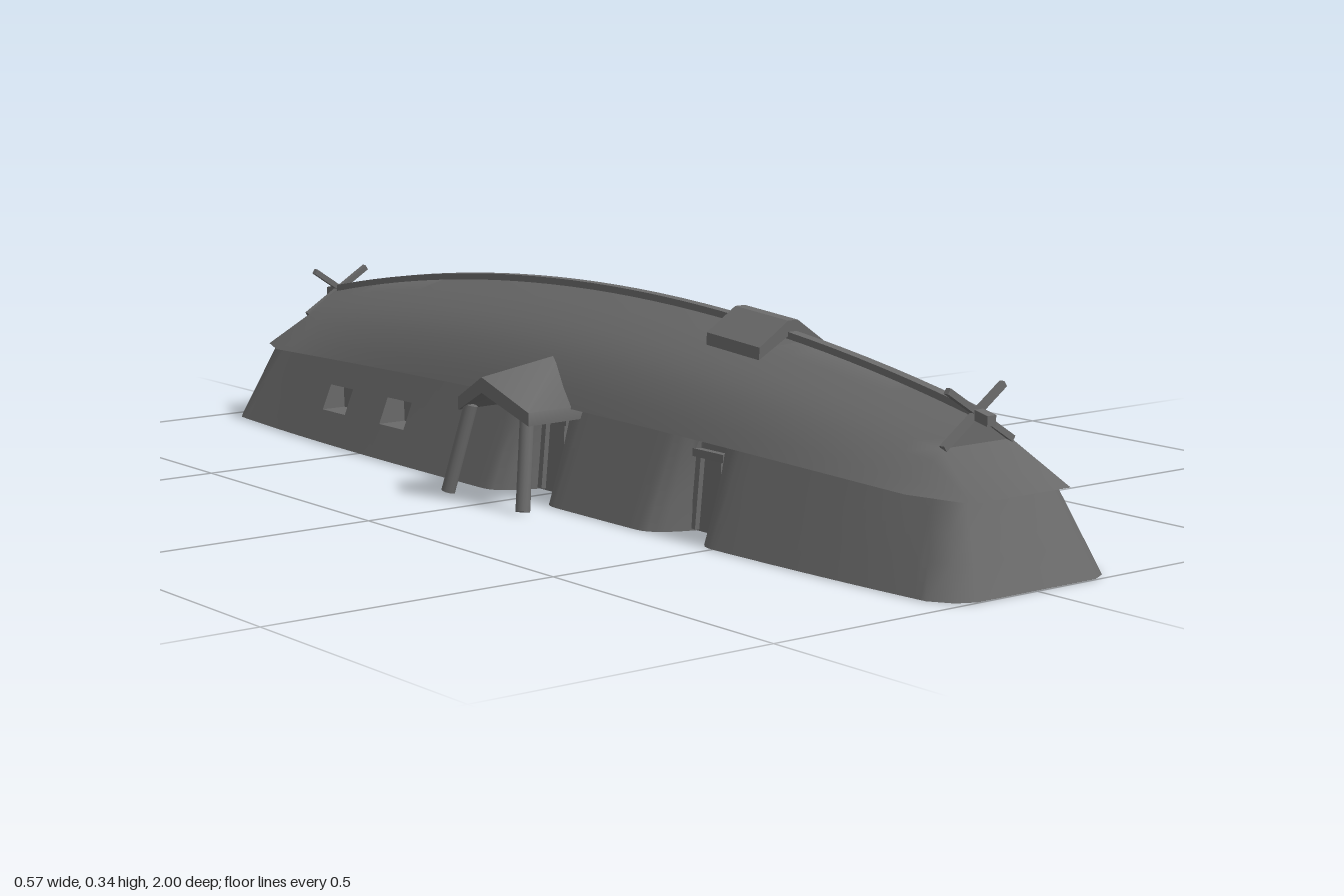
import * as THREE from 'three';
import { toCreasedNormals } from 'three/addons/utils/BufferGeometryUtils.js';

const mat = new THREE.MeshStandardMaterial({ color: 0x6a6a6a, side: THREE.DoubleSide });
const V = (x, y, z) => new THREE.Vector3(x, y, z);
const { smoothstep, lerp, clamp } = THREE.MathUtils;

function add(parent, name, geo) {
  const mesh = new THREE.Mesh(geo, mat);
  mesh.name = name;
  parent.add(mesh);
  return mesh;
}

// Surface from a list of triangles, smooth except at hard edges
function surface(tris, crease = 0.6) {
  const g = new THREE.BufferGeometry().setFromPoints(tris);
  g.computeVertexNormals();
  return toCreasedNormals(g, crease);
}

// Triangles between successive rings of points; skip(i, j) leaves a hole
function skin(rings, { closed = false, caps = false, skip = () => false } = {}) {
  const t = [];
  const n = rings[0].length;
  for (let i = 0; i < rings.length - 1; i++) {
    for (let j = 0; j < (closed ? n : n - 1); j++) {
      if (skip(i, j)) continue;
      const k = (j + 1) % n;
      const [a, b, c, d] = [rings[i][j], rings[i][k], rings[i + 1][k], rings[i + 1][j]];
      t.push(a, b, c, a, c, d);
    }
  }
  if (caps) {
    for (const [r, flip] of [[rings[0], true], [rings[rings.length - 1], false]]) {
      for (let j = 1; j < n - 1; j++) t.push(r[0], r[flip ? j + 1 : j], r[flip ? j : j + 1]);
    }
  }
  return t;
}

// Straight bar between two points: round (sides > 4) or square
function bar(parent, name, a, b, r, sides = 4) {
  const g = new THREE.CylinderGeometry(r, r, a.distanceTo(b), sides);
  if (sides === 4) g.rotateY(Math.PI / 4);
  const m = add(parent, name, sides === 4 ? toCreasedNormals(g, 0.5) : g);
  m.position.copy(a).lerp(b, 0.5);
  m.quaternion.setFromUnitVectors(V(0, 1, 0), b.clone().sub(a).normalize());
}

// Doorway recesses: side, centre z, half width of flat part, outer half width
const recesses = [
  [1, 0.41, 0.03, 0.115], [-1, 0.41, 0.03, 0.115],
  [1, 0, 0.04, 0.125], [-1, 0, 0.04, 0.125],
  [1, -0.63, 0.03, 0.115],
];
const windows = [-0.62, -0.42];
const levels = [0, 0.055, 0.1, 0.15];

// Point of the battered wall, bulging out between the recesses
function wallPoint(side, z, y) {
  const t = y / 0.15;
  let x = 0.205 - 0.037 * Math.abs(z) ** 3 - 0.062 * t;
  for (const [s, c, flat, outer] of recesses) {
    if (s !== side) continue;
    const u = clamp((Math.abs(z - c) - flat) / (outer - flat), 0, 1);
    x = lerp(x, 0.13 - 0.01 * t, (1 - u) ** 4);
  }
  const lean = 0.06 * t * smoothstep(Math.abs(z), 0.7, 1);
  return V(side * x, y * (1.06 - 0.16 * z * z), z - Math.sign(z) * lean);
}

function walls(g) {
  const rings = levels.map((y) => {
    const t = y / 0.15;
    const end = (x, z) => V(x * (1 - 0.28 * t), y * 0.9, z * (1 - 0.06 * t));
    const ring = [];
    for (let i = 0; i <= 190; i++) ring.push(wallPoint(1, 0.95 - i * 0.01, y));
    ring.push(end(0.15, -0.985), end(0.12, -1), end(-0.12, -1), end(-0.15, -0.985));
    for (let i = 0; i <= 190; i++) ring.push(wallPoint(-1, -0.95 + i * 0.01, y));
    ring.push(end(-0.15, 0.985), end(-0.12, 1), end(0.12, 1), end(0.15, 0.985));
    return ring;
  });
  const skip = (i, j) => i === 1 && j > 194 &&
    windows.some((w) => Math.abs(-0.95 + (j - 195 + 0.5) * 0.01 - w) < 0.04);
  add(g, 'wall', surface(skin(rings, { closed: true, skip }), 0.9));

  // Window boxes sunk into the wall
  for (const w of windows) {
    const outer = [[-1, 1], [1, 1], [1, 2], [-1, 2]].map(([d, l]) => wallPoint(-1, w + d * 0.04, levels[l]));
    const inner = outer.map((p) => V(-0.125, p.y, p.z));
    add(g, 'windowReveal', surface(skin([outer, inner], { closed: true }), 0.3));
    add(g, 'windowBack', surface([inner[0], inner[1], inner[2], inner[0], inner[2], inner[3]]));
  }

  // Door frames
  for (const [s, c] of recesses) {
    const door = new THREE.Group();
    door.name = 'doorFrame';
    for (const d of [-1, 1]) bar(door, 'doorJamb', V(s * 0.133, 0.003, c + d * 0.03), V(s * 0.125, 0.13, c + d * 0.025), 0.008);
    bar(door, 'doorLintel', V(s * 0.127, 0.125, c - 0.038), V(s * 0.127, 0.125, c + 0.038), 0.009);
    g.add(door);
  }
}

// Roof section: fractions of half width and of rise, eave to ridge
const section = [[1, 0], [0.92, 0.17], [0.77, 0.42], [0.64, 0.56], [0.5, 0.69], [0.24, 0.86], [0, 1]];
const ridge = (z) => 0.333 - 0.09 * (z / 0.87) ** 2;
const gableZ = 0.87;
function roofRing(z) {
  const q = Math.abs(z / gableZ);
  const w = 0.17 - 0.028 * q ** 3;
  const e = 0.16 - 0.022 * q ** 2;
  // The section straightens towards the gables
  const half = section.map(([a, b]) => [w * lerp(a, 1 - b, 0.7 * q ** 4), lerp(e, ridge(z), b)]);
  return [
    ...half.map(([x, y]) => V(x, y, z)),
    ...half.slice(0, -1).reverse().map(([x, y]) => V(-x, y, z)),
  ];
}

function roof(g) {
  const rings = [];
  for (let i = 0; i <= 32; i++) rings.push(roofRing(gableZ * (1 - i / 16)));
  const tris = skin(rings);
  for (const s of [1, -1]) {
    // Rounded hip below each gable
    const r = roofRing(s * gableZ);
    const last = r.length - 1;
    const tri = (a, b, c) => (s > 0 ? tris.push(a, c, b) : tris.push(a, b, c));
    const [a, b] = [V(0.1, 0.134, s * 0.965), V(-0.1, 0.134, s * 0.965)];
    for (let i = 0; i < 3; i++) {
      tri(a, r[i], r[i + 1]);
      tri(b, r[last - i - 1], r[last - i]);
    }
    tri(a, r[3], r[last - 3]);
    tri(a, r[last - 3], b);
    // Flat gable
    const gable = [];
    for (let i = 4; i < last - 3; i++) gable.push(r[3], r[i], r[i + 1]);
    add(g, 'gable', surface(gable));
    // Crossed rafters
    for (const d of [1, -1]) {
      bar(g, 'crossedRafter', V(-d * 0.07, 0.197, s * 0.872), V(d * 0.057, 0.28, s * 0.865), 0.007);
    }
  }
  add(g, 'roof', surface(tris, 1));

  // Ridge beam following the roof curve
  const beam = [];
  for (let i = 0; i <= 32; i++) {
    const z = 0.9 * (1 - i / 16);
    const y = ridge(z);
    beam.push([[0.009, -0.01], [0.009, 0.006], [-0.009, 0.006], [-0.009, -0.01]].map(([x, h]) => V(x, y + h, z)));
  }
  add(g, 'ridgeBeam', surface(skin(beam, { closed: true, caps: true })));

  // Smoke hole cover
  const pts = [[0.01, 0.024], [0.066, -0.014], [0.066, -0.034], [0, 0.004], [-0.066, -0.034], [-0.066, -0.014], [-0.01, 0.024]];
  const shape = new THREE.Shape(pts.map(([x, y]) => new THREE.Vector2(x, y)));
  const geo = new THREE.ExtrudeGeometry(shape, { depth: 0.13, bevelEnabled: false }).translate(0, 0, -0.065);
  const cover = add(g, 'smokeHoleCover', geo);
  cover.position.set(0, 0.313, 0.39);
  cover.rotation.x = 0.07;
}

function porch(side) {
  const g = new THREE.Group();
  g.name = side > 0 ? 'leftPorch' : 'rightPorch';
  // Gabled roof whose peak juts past its eaves
  const ring = (xp, yp, xe, ye) => [
    V(side * xp, yp, 0), V(side * xe, ye, 0.1), V(side * xe, ye - 0.022, 0.1),
    V(side * xp, yp - 0.026, 0), V(side * xe, ye - 0.022, -0.1), V(side * xe, ye, -0.1),
  ];
  const rings = [ring(0.115, 0.234, 0.14, 0.163), ring(0.277, 0.21, 0.255, 0.162)];
  add(g, 'porchRoof', surface(skin(rings, { closed: true, caps: true }), 1.05));
  // Splayed posts
  for (const d of [1, -1]) bar(g, 'porchPost', V(side * 0.243, 0.15, d * 0.08), V(side * 0.272, 0.002, d * 0.107), 0.012, 12);
  return g;
}

export function createModel() {
  const g = new THREE.Group();
  g.name = 'longhouse';
  walls(g);
  roof(g);
  g.add(porch(1), porch(-1));
  return g;
}
